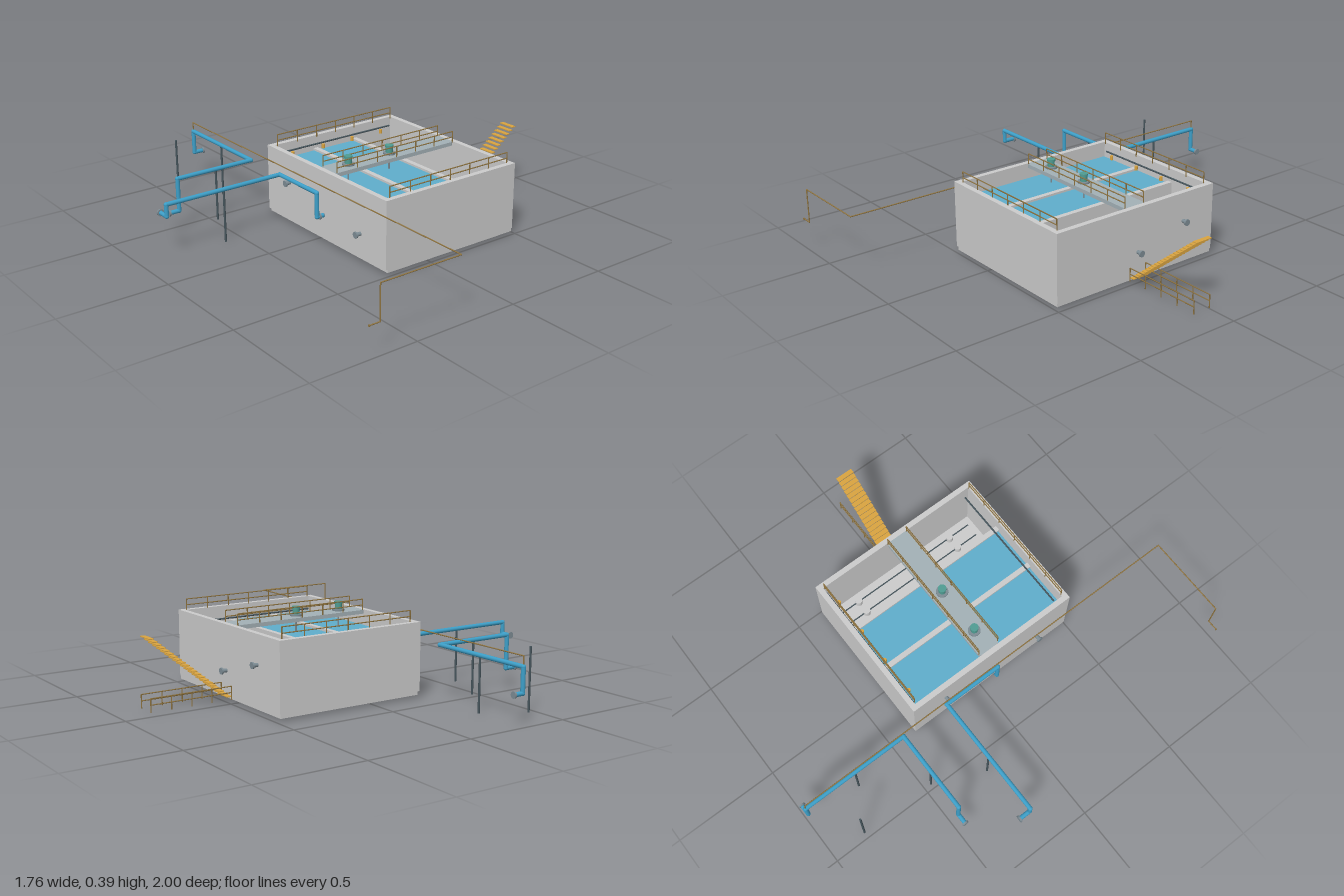
import * as THREE from 'three';

const mat = (color) => new THREE.MeshStandardMaterial({ color });
const concrete = mat(0xc4c4c2), waterBlue = mat(0x5fadcb), pipeBlue = mat(0x3d9fc8);
const steel = mat(0x7d8c94), darkSteel = mat(0x46555c), ochre = mat(0xd9a440);
const railBrown = mat(0x8f7440), teal = mat(0x4f9c92), deckGrey = mat(0xa3b0b6);

export function createModel() {
  const root = new THREE.Group();

  const add = (name, geo, material, parent = root) => {
    const mesh = new THREE.Mesh(geo, material);
    mesh.name = name;
    parent.add(mesh);
    return mesh;
  };
  const group = (name) => {
    const g = new THREE.Group();
    g.name = name;
    root.add(g);
    return g;
  };
  // Box given by its minimum and maximum corners
  const box = (name, a, b, material, parent) => {
    const m = add(name, new THREE.BoxGeometry(b[0] - a[0], b[1] - a[1], b[2] - a[2]), material, parent);
    m.position.set((a[0] + b[0]) / 2, (a[1] + b[1]) / 2, (a[2] + b[2]) / 2);
    return m;
  };
  // Round bar between two points
  const rod = (name, a, b, r, material, parent, sides = 12) => {
    const p = new THREE.Vector3(...a), q = new THREE.Vector3(...b);
    const d = q.clone().sub(p);
    const m = add(name, new THREE.CylinderGeometry(r, r, d.length(), sides), material, parent);
    m.position.copy(p).addScaledVector(d, 0.5);
    m.quaternion.setFromUnitVectors(new THREE.Vector3(0, 1, 0), d.normalize());
    return m;
  };
  // Pipe run along corner points, with rounded elbows
  const pipeRun = (name, pts, r, material) => {
    const g = group(name);
    for (let i = 0; i + 1 < pts.length; i++) {
      rod('pipeSegment', pts[i], pts[i + 1], r, material, g, 14);
      if (i > 0) add('elbow', new THREE.SphereGeometry(r * 1.05, 14, 10), material, g).position.set(...pts[i]);
    }
    return g;
  };

  // Tank: floor slab, four walls in one ring, partitions and water
  const tank = group('tank');
  const outline = new THREE.Shape([[-0.245, -0.495], [0.485, -0.495], [0.485, 0.375], [-0.245, 0.375]]
    .map((p) => new THREE.Vector2(...p)));
  outline.holes.push(new THREE.Path([[-0.22, -0.47], [-0.22, 0.35], [0.46, 0.35], [0.46, -0.47]]
    .map((p) => new THREE.Vector2(...p))));
  const walls = add('tankWalls', new THREE.ExtrudeGeometry(outline, { depth: 0.312, bevelEnabled: false }), concrete, tank);
  walls.rotation.x = -Math.PI / 2;
  walls.position.y = 0.03;
  box('floorSlab', [-0.235, 0.014, -0.373], [0.482, 0.034, 0.493], concrete, tank);
  for (const x of [0.008, 0.238]) box('partition', [x - 0.012, 0.03, -0.35], [x + 0.012, 0.28, 0.47], concrete, tank);
  box('water', [-0.219, 0.034, -0.345], [-0.004, 0.27, 0.465], waterBlue, tank);
  box('water', [0.02, 0.034, -0.345], [0.226, 0.27, 0.465], waterBlue, tank);

  // Header pipes along the end walls with small valves
  const headers = group('headerPipes');
  rod('frontHeader', [-0.2, 0.285, 0.445], [0.45, 0.285, 0.445], 0.004, darkSteel, headers);
  rod('backHeader', [-0.2, 0.3, -0.345], [0.45, 0.3, -0.345], 0.004, darkSteel, headers);
  for (const x of [-0.14, 0.035, 0.205, 0.38])
    rod('valve', [x, 0.28, -0.325], [x, 0.3, -0.325], 0.008, ochre, headers);

  // Diffusers on the floor of the dry chamber
  const diffusers = group('diffusers');
  for (const x of [0.288, 0.352, 0.416]) {
    rod('diffuserPipe', [x, 0.05, -0.33], [x, 0.05, 0.44], 0.003, darkSteel, diffusers);
    for (const z of [-0.21, 0.327])
      rod('diffuserDisc', [x, 0.034, z], [x, 0.065, z], 0.017, concrete, diffusers, 20);
  }

  // Walkway across the tank
  const deck = new THREE.Shape();
  const [x0, x1, h, c] = [-0.22, 0.46, 0.055, 0.015];
  deck.moveTo(x0 + c, -h).lineTo(x1 - c, -h).quadraticCurveTo(x1, -h, x1, -h + c).lineTo(x1, h - c)
    .quadraticCurveTo(x1, h, x1 - c, h).lineTo(x0 + c, h).quadraticCurveTo(x0, h, x0, h - c)
    .lineTo(x0, -h + c).quadraticCurveTo(x0, -h, x0 + c, -h);
  const walkway = add('walkway', new THREE.ExtrudeGeometry(deck, { depth: 0.018, bevelEnabled: false }), deckGrey);
  walkway.rotation.x = -Math.PI / 2;
  walkway.position.set(0, 0.324, 0.06);

  // Mixers standing on the walkway
  for (const x of [-0.11, 0.122]) {
    const mixer = group('mixer');
    mixer.position.set(x, 0, 0.06);
    rod('mixerFlange', [0, 0.342, 0], [0, 0.35, 0], 0.028, steel, mixer, 20);
    rod('mixerMotor', [0, 0.35, 0], [0, 0.378, 0], 0.016, teal, mixer, 20);
    rod('mixerCap', [0, 0.376, 0], [0, 0.385, 0], 0.019, teal, mixer, 20);
    rod('mixerShaft', [0, 0.08, 0], [0, 0.342, 0], 0.004, steel, mixer);
  }

  // Straight railing along x with top rail, middle rail and posts
  const railing = (name, xs, z, base, mid, top) => {
    const g = group(name), r = 0.0025, last = xs[xs.length - 1];
    for (const y of [mid, top]) rod('rail', [xs[0], y, z], [last, y, z], r, railBrown, g, 6);
    for (const x of xs) rod('railPost', [x, base, z], [x, top, z], r, railBrown, g, 6);
  };
  const tankPosts = Array.from({ length: 7 }, (_, i) => -0.21 + i * 0.111);
  for (const z of [0.472, 0.112, 0.008, -0.345]) railing('tankRailing', tankPosts, z, 0.335, 0.365, 0.392);
  const stairPosts = Array.from({ length: 5 }, (_, i) => 0.488 + i * 0.097);
  for (const z of [0.016, 0.104]) railing('stairRailing', stairPosts, z, 0.014, 0.047, 0.075);

  // Open stair treads
  const stairs = group('stairs');
  const steps = 21;
  for (let i = 0; i < steps; i++) {
    const x = 0.486 + (i * 0.366) / (steps - 1), y = 0.026 + (i * 0.298) / (steps - 1);
    box('tread', [x, y, 0.018], [x + 0.022, y + 0.004, 0.102], ochre, stairs);
  }

  // Flanged wall nozzles: outward direction, height, depth position
  for (const [side, y, z] of [[1, 0.21, -0.2], [1, 0.137, 0.06], [-1, 0.21, -0.2], [-1, 0.137, 0.06], [-1, 0.137, 0.32]]) {
    const g = group('nozzle'), wall = side > 0 ? 0.485 : -0.245;
    rod('nozzleNeck', [wall - side * 0.01, y, z], [wall + side * 0.026, y, z], 0.009, steel, g, 16);
    rod('nozzleFlange', [wall + side * 0.022, y, z], [wall + side * 0.029, y, z], 0.015, steel, g, 16);
  }

  // Large blue pipes with end flanges
  const inlet = pipeRun('inletPipe', [[-0.25, 0.137, 0.06], [-0.283, 0.137, 0.06], [-0.283, 0.25, 0.06],
    [-0.283, 0.25, -0.225], [-0.867, 0.25, -0.225], [-0.867, 0.195, -0.225], [-0.867, 0.195, -0.28]], 0.01, pipeBlue);
  rod('flange', [-0.867, 0.195, -0.276], [-0.867, 0.195, -0.284], 0.016, steel, inlet, 18);
  const outlet = pipeRun('outletPipe', [[-0.235, 0.14, -0.985], [-0.283, 0.14, -0.985], [-0.283, 0.25, -0.985],
    [-0.283, 0.25, -0.463], [-0.675, 0.25, -0.463], [-0.675, 0.095, -0.463], [-0.728, 0.095, -0.463]], 0.01, pipeBlue);
  rod('flange', [-0.232, 0.14, -0.985], [-0.24, 0.14, -0.985], 0.015, steel, outlet, 18);
  rod('flange', [-0.722, 0.095, -0.463], [-0.73, 0.095, -0.463], 0.015, steel, outlet, 18);

  // Thin service line
  const line = pipeRun('serviceLine', [[-0.283, 0.14, -0.985], [-0.283, 0.295, -0.985], [-0.283, 0.295, 0.993],
    [-0.675, 0.295, 0.993], [-0.675, 0.137, 0.993], [-0.728, 0.137, 0.993]], 0.0027, railBrown);
  rod('flange', [-0.724, 0.137, 0.993], [-0.728, 0.137, 0.993], 0.005, railBrown, line);

  // Pipe support posts
  const posts = group('supportPosts');
  for (const [x, z, top] of [[-0.283, -0.725, 0.25], [-0.47, -0.83, 0.285], [-0.475, -0.463, 0.25], [-0.58, -0.225, 0.25]])
    rod('supportPost', [x, 0, z], [x, top, z], 0.005, darkSteel, posts);

  return root;
}
